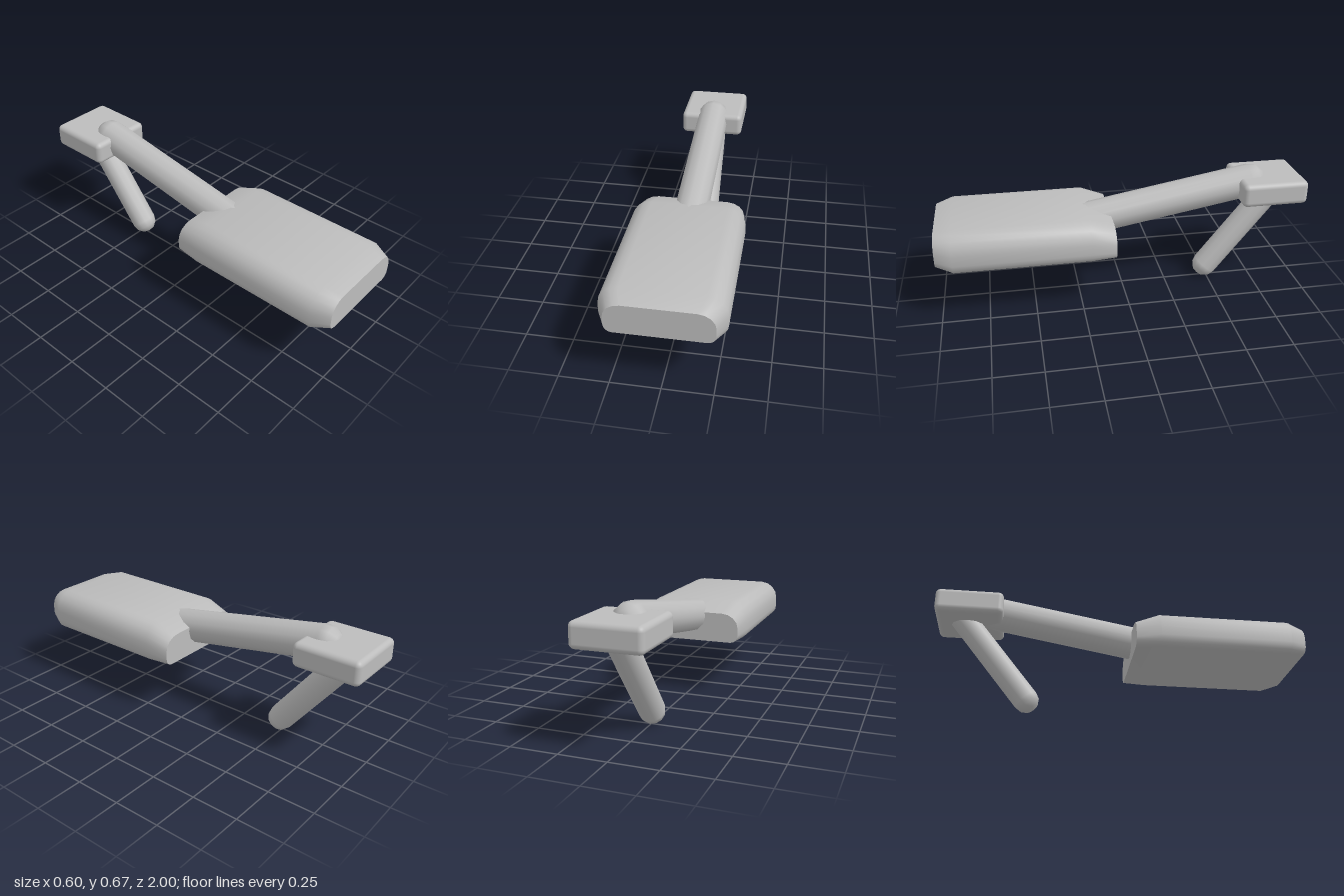
import * as THREE from 'three';
import { RoundedBoxGeometry } from 'three/addons/geometries/RoundedBoxGeometry.js';
import { toCreasedNormals } from 'three/addons/utils/BufferGeometryUtils.js';

const grey = new THREE.MeshStandardMaterial({ color: 0xbcbcbc });
grey.name = 'grey';

// Body cross-section: large upper corners, small lower corners, anticlockwise from the front
function bodyOutline() {
  const corners = [
    [0.2, 0.413, 0.1, 0.1, 0], [-0.2, 0.413, 0.1, 0.1, 1],
    [-0.255, 0.36, 0.045, 0.055, 2], [0.255, 0.36, 0.045, 0.055, 3],
  ];
  const points = [];
  for (const [cx, cy, rx, ry, quarter] of corners) {
    for (let i = 0; i <= 4; i++) {
      const a = (quarter + i / 4) * Math.PI / 2;
      points.push([cx + rx * Math.cos(a), cy + ry * Math.sin(a)]);
    }
  }
  return points;
}

// Loft of scaled outlines from front to back, closed by flat ends
function bodyGeometry() {
  const outline = bodyOutline();
  const n = outline.length;
  // z, x scale, y scale, height about which y is scaled
  const sections = [
    [1, 0.853, 0.78, 0.409], [0.91, 1, 1, 0.409],
    [0.2, 1, 1, 0.305], [0.07, 0.93, 0.78, 0.305],
  ];
  const positions = [];
  const index = [];
  for (const [z, sx, sy, y0] of sections) {
    for (const [x, y] of outline) positions.push(x * sx, y0 + (y - y0) * sy, z);
  }
  for (let s = 0; s < sections.length - 1; s++) {
    for (let i = 0; i < n; i++) {
      const a = s * n + i;
      const b = s * n + (i + 1) % n;
      index.push(a, a + n, b, b, a + n, b + n);
    }
  }
  const last = (sections.length - 1) * n;
  for (let i = 1; i < n - 1; i++) {
    index.push(0, i, i + 1);
    index.push(last, last + i + 1, last + i);
  }
  const geometry = new THREE.BufferGeometry();
  geometry.setAttribute('position', new THREE.Float32BufferAttribute(positions, 3));
  geometry.setIndex(index);
  return toCreasedNormals(geometry, 0.6);
}

// Round-ended rod between two cap centres
function rod(name, radius, from, to) {
  const a = new THREE.Vector3(...from);
  const b = new THREE.Vector3(...to);
  const mesh = new THREE.Mesh(new THREE.CapsuleGeometry(radius, a.distanceTo(b), 3, 12), grey);
  mesh.position.copy(a).add(b).multiplyScalar(0.5);
  mesh.quaternion.setFromUnitVectors(new THREE.Vector3(0, 1, 0), b.clone().sub(a).normalize());
  mesh.name = name;
  return mesh;
}

export function createModel() {
  const group = new THREE.Group();
  group.name = 'model';

  const body = new THREE.Mesh(bodyGeometry(), grey);
  body.name = 'body';

  // Block at the rear end of the upper arm
  const block = new THREE.Mesh(new RoundedBoxGeometry(0.362, 0.13, 0.363, 3, 0.028), grey);
  block.position.set(0, 0.562, -0.8185);
  block.name = 'rearBlock';

  group.add(
    body,
    block,
    rod('upperArm', 0.091, [0, 0.415, 0.25], [0, 0.586, -0.72]),
    rod('lowerArm', 0.07, [0, 0.072, -0.49], [0, 0.54, -0.862]),
  );
  return group;
}
